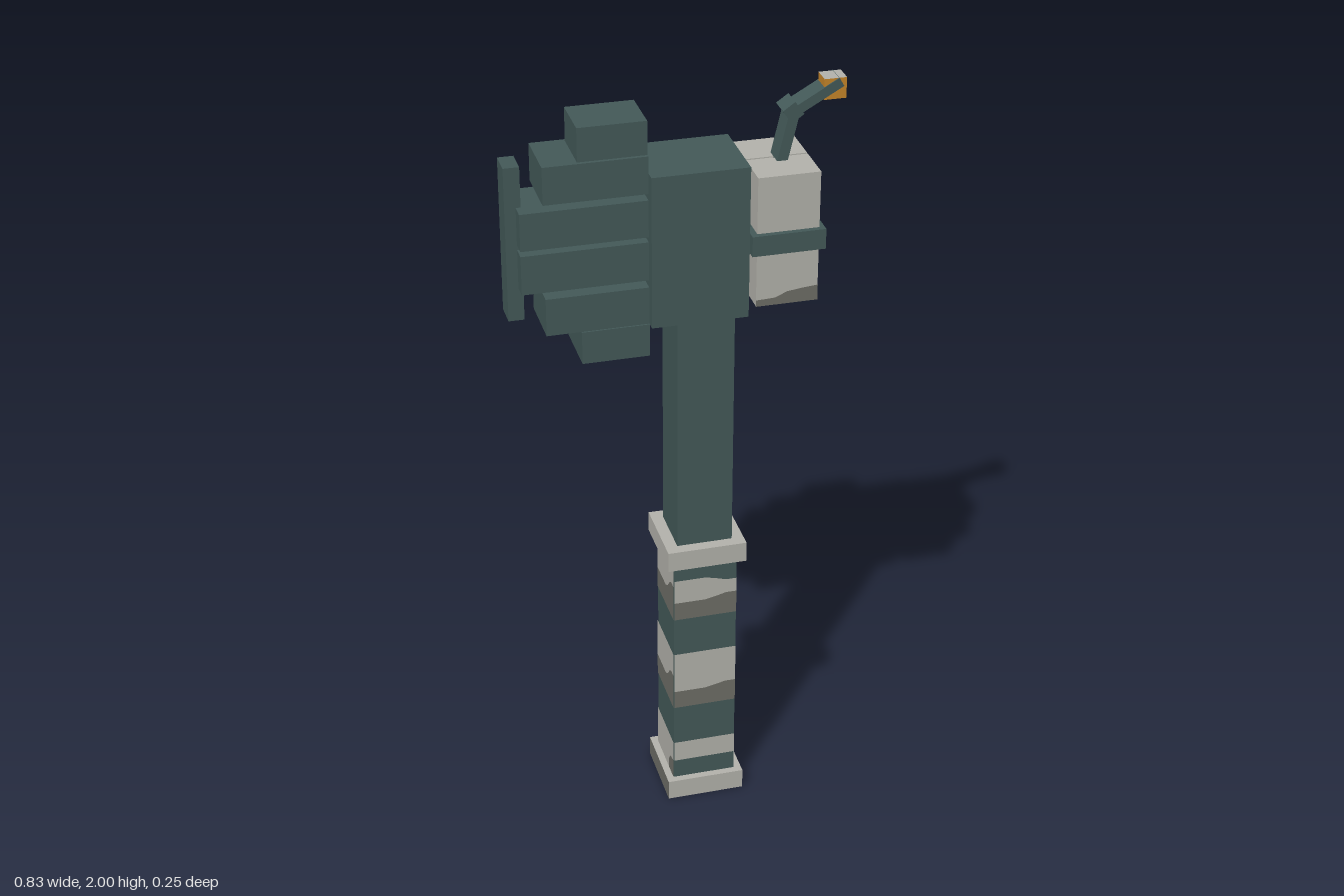
import * as THREE from 'three';

export function createModel() {
  const root = new THREE.Group();
  const mat = (name, color) => {
    const m = new THREE.MeshStandardMaterial({ color });
    m.name = name;
    return m;
  };
  const teal = mat('dark teal', 0x445a59);
  const pale = mat('pale grey', 0xb5b4ad);
  const taupe = mat('taupe', 0x6e6f67);
  const amber = mat('amber', 0xc8862a);

  // Box given by its min and max on each axis
  const box = (name, [x0, x1], [y0, y1], [z0, z1], material, parent = root) => {
    const mesh = new THREE.Mesh(new THREE.BoxGeometry(x1 - x0, y1 - y0, z1 - z0), material);
    mesh.position.set((x0 + x1) / 2, (y0 + y1) / 2, (z0 + z1) / 2);
    mesh.name = name;
    parent.add(mesh);
    return mesh;
  };

  // Flat painted band between a lower and an upper edge, both running left to right
  const band = (name, lower, upper, material, parent) => {
    const pts = [...lower, ...upper.slice().reverse()].map(([x, y]) => new THREE.Vector2(x, y));
    const mesh = new THREE.Mesh(new THREE.ShapeGeometry(new THREE.Shape(pts)), material);
    mesh.name = name;
    parent.add(mesh);
  };

  // Handle: end caps, grip core and shaft
  box('pommel', [-0.041, 0.165], [0, 0.056], [-0.102, 0.102], [taupe, taupe, pale, taupe, pale, pale]);
  box('gripCollar', [-0.041, 0.165], [0.735, 0.79], [-0.102, 0.102], pale);
  box('gripCore', [-0.021, 0.145], [0.056, 0.735], [-0.083, 0.083], teal);
  box('shaft', [-0.01, 0.134], [0.79, 1.44], [-0.072, 0.072], teal);

  // Painted camouflage bands, repeated on opposite faces of the grip
  const W = 0.083;
  const flat = (y) => [[-W, y], [W, y]];
  const step = (y0, y1) => [[-W, y0], [0.0, y0], [0.03, (y0 + y1) / 2], [0.055, y1], [W, y1]];
  const wave = (y0, y1) => [[-W, y0], [0.005, y0], [0.025, y0 + 0.012], [0.045, y1 - 0.008], [0.06, y1], [W, y1]];
  const broadFace = (g) => {
    band('upperPale', step(0.622, 0.635), step(0.69, 0.675), pale, g);
    band('upperTaupe', flat(0.57), step(0.622, 0.635), taupe, g);
    band('middlePale', step(0.34, 0.352), flat(0.46), pale, g);
    band('middleTaupe', flat(0.288), step(0.34, 0.352), taupe, g);
    band('lowerPale', flat(0.112), flat(0.172), pale, g);
  };
  const sideFace = (g) => {
    band('upperPale', wave(0.63, 0.673), flat(0.735), pale, g);
    band('upperTaupe', flat(0.57), wave(0.63, 0.673), taupe, g);
    band('middlePale', wave(0.348, 0.392), flat(0.46), pale, g);
    band('middleTaupe', flat(0.288), wave(0.348, 0.392), taupe, g);
    const corner = [[0.033, 0.056], [0.035, 0.085], [0.055, 0.107], [W, 0.112]];
    band('lowerPale', [[-W, 0.056], ...corner], flat(0.172), pale, g);
    band('lowerTaupe', [[0.033, 0.056], [W, 0.056]], corner.slice(1), taupe, g);
  };
  for (let i = 0; i < 4; i++) {
    const turn = new THREE.Group();
    turn.name = 'gripPaint' + i;
    turn.position.x = 0.062;
    turn.rotation.y = (i * Math.PI) / 2;
    const face = new THREE.Group();
    face.position.z = W + 0.002;
    (i % 2 ? sideFace : broadFace)(face);
    turn.add(face);
    root.add(turn);
  }

  // Head block and stacked blade slabs
  box('headBlock', [-0.08, 0.16], [1.44, 1.832], [-0.1, 0.1], teal);
  const slabs = [
    [-0.247, 1.875, 1.96, 0.064],
    [-0.332, 1.78, 1.875, 0.073],
    [-0.388, 1.668, 1.763, 0.072],
    [-0.388, 1.555, 1.655, 0.072],
    [-0.332, 1.44, 1.537, 0.074],
    [-0.247, 1.355, 1.44, 0.078],
  ];
  for (const [x, y0, y1, d] of slabs) box('bladeSlab', [x, -0.08], [y0, y1], [-d, d], teal);
  box('bladeEdge', [-0.415, -0.376], [1.47, 1.865], [-0.033, 0.033], teal);

  // Twin canisters, taupe on the outer lower half, held by a strap
  for (const s of [-1, 1]) {
    const z = s < 0 ? [-0.109, -0.003] : [0.003, 0.109];
    box('canisterTop', [0.175, 0.329], [1.635, 1.806], z, pale);
    box('canisterBottom', [0.175, 0.329], [1.47, 1.635], z, [taupe, pale, pale, taupe, pale, pale]);
    const paint = new THREE.Group();
    paint.name = 'canisterPaint';
    paint.position.set(0.252, 0, s * 0.111);
    if (s < 0) paint.rotation.y = Math.PI;
    band('canisterStain', [[-0.077, 1.47], [0.077, 1.47]],
      [[-0.077, 1.487], [-0.03, 1.489], [0.0, 1.502], [0.04, 1.507], [0.077, 1.51]], taupe, paint);
    root.add(paint);
  }
  box('strap', [0.16, 0.342], [1.61, 1.662], [-0.123, 0.123], teal);

  // Bent igniter arm with a joint and a tip
  const limb = (name, x0, y0, x1, y1, width, depth) => {
    const length = Math.hypot(x1 - x0, y1 - y0);
    const mesh = new THREE.Mesh(new THREE.BoxGeometry(length, width, depth), teal);
    mesh.position.set((x0 + x1) / 2, (y0 + y1) / 2, 0);
    mesh.rotation.z = Math.atan2(y1 - y0, x1 - x0);
    mesh.name = name;
    root.add(mesh);
  };
  limb('lowerArm', 0.255, 1.79, 0.285, 1.92, 0.026, 0.054);
  limb('armJoint', 0.268, 1.915, 0.298, 1.936, 0.04, 0.056);
  limb('upperArm', 0.285, 1.925, 0.4, 1.99, 0.024, 0.054);
  box('igniterTip', [0.358, 0.413], [1.948, 2], [-0.024, 0.024], [amber, amber, pale, amber, amber, amber]);

  return root;
}
